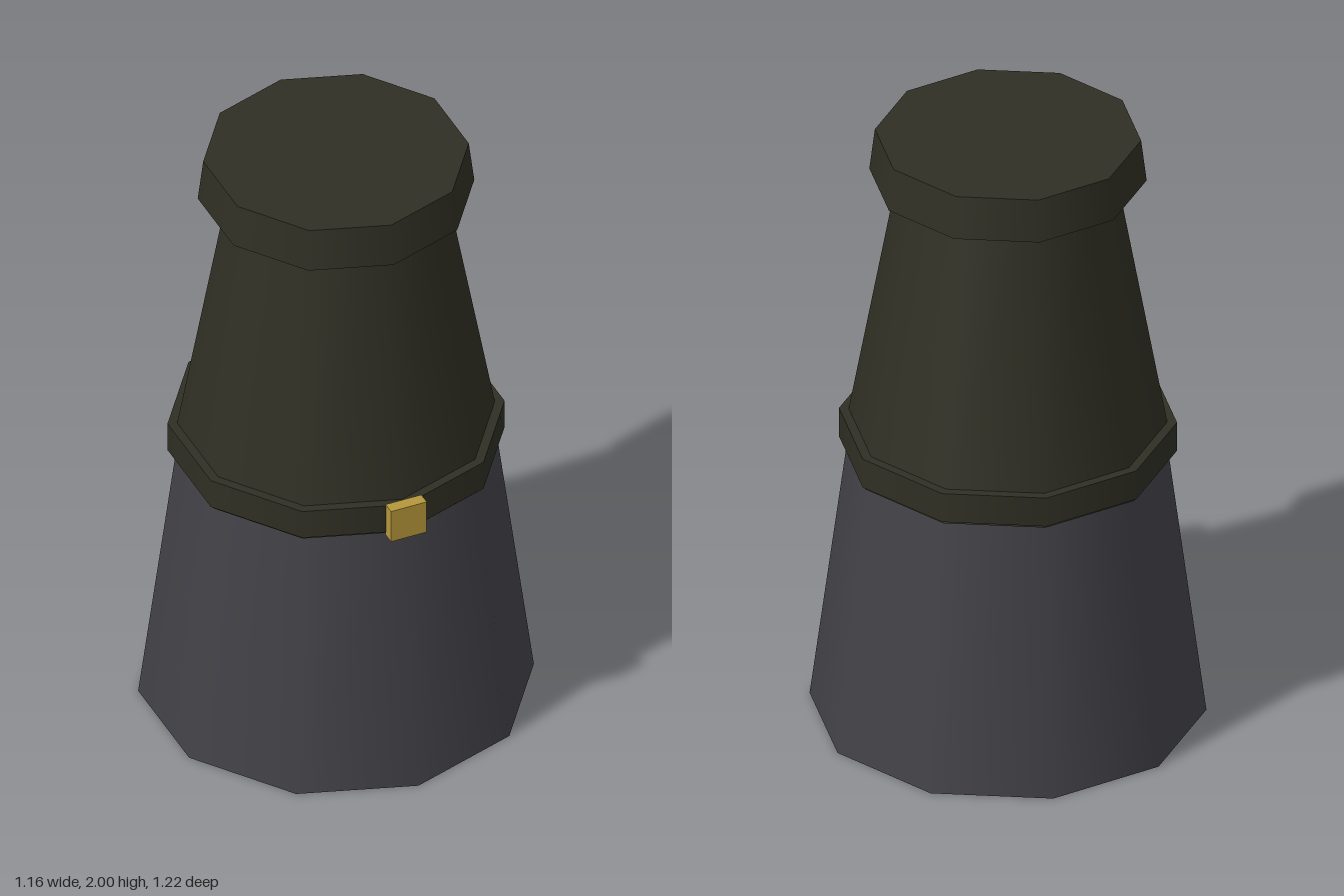
import * as THREE from 'three';

export function createModel() {
  const group = new THREE.Group();
  const material = (name, color) => {
    const m = new THREE.MeshStandardMaterial({ color });
    m.name = name;
    return m;
  };
  const grey = material('charcoal grey', 0x424147);
  const olive = material('dark olive', 0x2f2f24);
  const gold = material('brass', 0xb4963b);

  // Ten-sided tapered section between two heights, smooth around the side
  const section = (name, mat, y0, y1, r0, r1) => {
    const mesh = new THREE.Mesh(new THREE.CylinderGeometry(r1, r0, y1 - y0, 10), mat);
    mesh.position.y = (y0 + y1) / 2;
    mesh.name = name;
    group.add(mesh);
  };

  section('lowerBody', grey, 0, 0.9, 0.608, 0.492);
  section('upperBody', olive, 0.9, 1.87, 0.508, 0.333);
  section('belt', olive, 0.91, 1.01, 0.518, 0.518);
  section('cap', olive, 1.86, 2, 0.425, 0.408);

  // Small square buckle on the front of the belt
  const buckle = new THREE.Mesh(new THREE.BoxGeometry(0.12, 0.115, 0.04), gold);
  buckle.position.set(0, 0.957, 0.517);
  buckle.name = 'buckle';
  group.add(buckle);

  return group;
}
